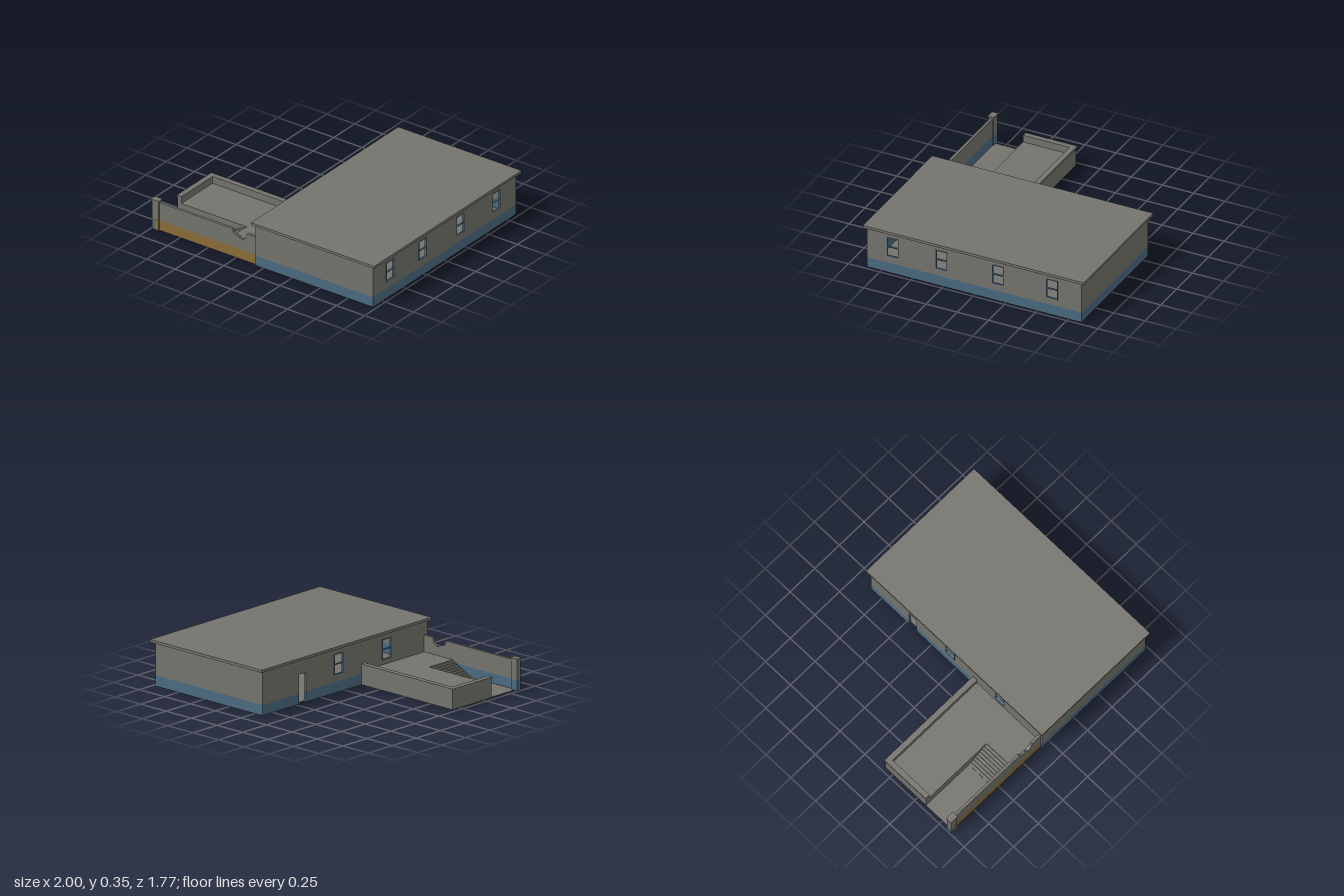
import * as THREE from 'three';

export function createModel() {
  const root = new THREE.Group();
  const concrete = new THREE.MeshStandardMaterial({ color: 0x74736c });
  concrete.name = 'concrete grey';
  const blue = new THREE.MeshStandardMaterial({ color: 0x4a6a80 });
  blue.name = 'faded blue paint';
  const ochre = new THREE.MeshStandardMaterial({ color: 0x8a6c38 });
  ochre.name = 'ochre paint';

  const add = (name, geometry, material, parent = root) => {
    const mesh = new THREE.Mesh(geometry, material);
    mesh.name = name;
    parent.add(mesh);
    return mesh;
  };
  // Box given by its limits on each axis
  const box = (name, mat, x0, x1, y0, y1, z0, z1, parent) => {
    const m = add(name, new THREE.BoxGeometry(x1 - x0, y1 - y0, z1 - z0), mat, parent);
    m.position.set((x0 + x1) / 2, (y0 + y1) / 2, (z0 + z1) / 2);
    return m;
  };
  const toPoints = (pts) => pts.map(([x, y]) => new THREE.Vector2(x, y));
  const rect = (a, b, c, d) => [[a, c], [b, c], [b, d], [a, d]];
  const extrude = (pts, depth, holes = []) => {
    const s = new THREE.Shape(toPoints(pts));
    holes.forEach((h) => s.holes.push(new THREE.Path(toPoints(h))));
    return new THREE.ExtrudeGeometry(s, { depth, bevelEnabled: false });
  };
  // Outline drawn in z and y, with its thickness running from x towards -x
  const sidePanel = (name, mat, pts, x, depth, holes) => {
    const m = add(name, extrude(pts, depth, holes).rotateY(-Math.PI / 2), mat);
    m.position.x = x;
    return m;
  };

  // Main hall
  const X0 = -0.075, X1 = 0.975, Z0 = -0.857, Z1 = 0.863;
  const T = 0.02, BAND = 0.08, EAVE = 0.33;
  const WIN0 = 0.133, WIN1 = 0.29, HALF = 0.048;
  const windowRect = (z) => rect(z - HALF, z + HALF, WIN0, WIN1);
  const rightWindows = [0.658, 0.267, -0.186, -0.619];
  const leftWindows = [-0.06, 0.44];
  const D0 = -0.475, D1 = -0.4, DOOR = 0.22;

  box('hallFloor', concrete, X0 + T, X1 - T, 0, 0.006, Z0 + T, Z1 - T);
  box('hallRoof', concrete, -0.095, 1, EAVE, 0.35, -0.887, 0.885);
  for (const [name, z] of [['frontWall', Z1 - T], ['backWall', Z0]]) {
    box(name + 'Base', blue, X0, X1, 0, BAND, z, z + T);
    box(name, concrete, X0, X1, BAND, EAVE, z, z + T);
  }
  const zA = Z0 + T, zB = Z1 - T;
  sidePanel('rightWallBase', blue, rect(zA, zB, 0, BAND), X1, T);
  sidePanel('rightWall', concrete, rect(zA, zB, BAND, EAVE), X1, T, rightWindows.map(windowRect));
  // Left wall, notched for the door
  sidePanel('leftWallBaseBack', blue, rect(zA, D0, 0, BAND), X0 + T, T);
  sidePanel('leftWallBaseFront', blue, rect(D1, zB, 0, BAND), X0 + T, T);
  sidePanel('leftWall', concrete, [
    [zA, BAND], [D0, BAND], [D0, DOOR], [D1, DOOR], [D1, BAND],
    [zB, BAND], [zB, EAVE], [zA, EAVE],
  ], X0 + T, T, leftWindows.map(windowRect));

  // Thin window frames with a middle bar
  const frame = (z, x) => {
    const b = 0.006, mid = 0.212;
    sidePanel('windowFrame', blue, windowRect(z), x, 0.014, [
      rect(z - HALF + b, z + HALF - b, WIN0 + b, mid - b / 2),
      rect(z - HALF + b, z + HALF - b, mid + b / 2, WIN1 - b),
    ]);
  };
  rightWindows.forEach((z) => frame(z, X1 + 0.002));
  leftWindows.forEach((z) => frame(z, X0 + 0.012));

  // Raised terrace, hollow underneath
  const FLOOR = 0.1, LIP = 0.14, RAIL = 0.157, STEP0 = -0.535, STEP1 = -0.355;
  const STAIR_Z = 0.585, WALL_Z = 0.83;
  box('terraceFloor', concrete, -0.935, X0, FLOOR - 0.01, FLOOR, 0.21, STAIR_Z);
  box('stairLanding', concrete, STEP1, X0, FLOOR - 0.01, FLOOR, STAIR_Z, WALL_Z);
  box('terraceBackWall', concrete, -0.968, X0, 0, LIP, 0.177, 0.21);
  box('terraceSideWall', concrete, -0.968, -0.935, 0, LIP, 0.21, STAIR_Z);
  box('backCoping', concrete, -0.975, X0, LIP, RAIL, 0.17, 0.212);
  box('sideCoping', concrete, -0.975, -0.933, LIP, RAIL, 0.212, STAIR_Z);
  box('retainingWall', concrete, -0.935, STEP1, 0, FLOOR - 0.001, STAIR_Z - 0.012, STAIR_Z);
  box('courtFloor', concrete, -0.97, STEP0, 0, 0.006, STAIR_Z, WALL_Z);

  // Stairs as a folded slab of treads and risers
  const N = 8, run = (STEP1 - STEP0) / N, rise = FLOOR / (N + 1), t = 0.004;
  const top = [], under = [];
  for (let i = 0; i <= N; i++) {
    const x = STEP0 + i * run, y = i * rise;
    top.push([x, y], [x, y + rise]);
    under.push([x + t, i ? y - t : 0], [x + t, y + rise - t]);
  }
  add('stairs', extrude([...top, ...under.reverse()], WALL_Z - STAIR_Z), concrete).position.z = STAIR_Z;

  // Front yard wall with a broken gap along its top
  const W0 = -0.935, TOP = 0.225, W1 = 0.85, MID = 0.84;
  add('yardWall', extrude([
    [W0, BAND], [X0, BAND], [X0, TOP], [-0.157, TOP], [-0.162, 0.205], [-0.17, 0.187],
    [-0.183, 0.172], [-0.2, 0.165], [-0.218, 0.17], [-0.226, 0.18], [-0.252, 0.184],
    [-0.272, 0.192], [-0.282, 0.205], [-0.28, 0.215], [-0.29, TOP], [W0, TOP],
  ], W1 - WALL_Z), concrete).position.z = WALL_Z;
  box('yardWallFrontBase', ochre, W0, X0, 0, BAND, MID, W1);
  box('yardWallInnerBase', blue, W0, STEP1, 0, BAND, WALL_Z, MID);
  box('yardWallLandingBase', ochre, STEP1, X0, 0, BAND, WALL_Z, MID);

  // Corner pillar with cap and an uneven edge of ochre paint
  const pillar = new THREE.Group();
  pillar.name = 'cornerPillar';
  root.add(pillar);
  box('pillarBase', blue, -0.993, W0, 0, BAND, 0.82, 0.86, pillar);
  box('pillarShaft', concrete, -0.993, W0, BAND, 0.232, 0.82, 0.86, pillar);
  box('pillarCap', concrete, -1, -0.93, 0.232, 0.242, 0.815, 0.867, pillar);
  add('pillarPaint', extrude([
    [-0.965, 0], [W0 + 0.001, 0], [W0 + 0.001, BAND], [-0.972, BAND],
    [-0.966, 0.06], [-0.97, 0.045], [-0.963, 0.02],
  ], 0.011), ochre, pillar).position.z = 0.851;
  return root;
}
